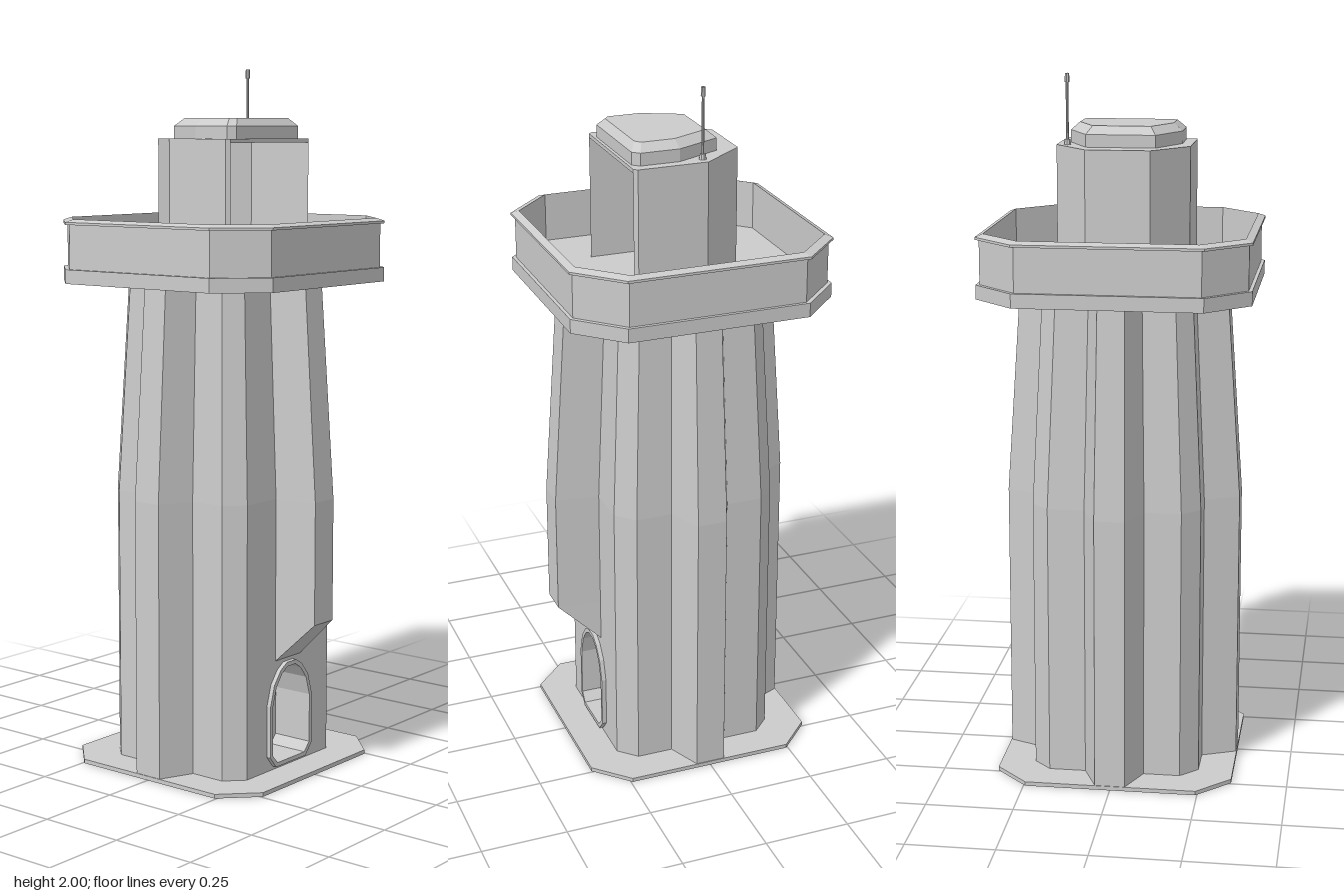
import * as THREE from 'three';

const grey = new THREE.MeshStandardMaterial({ color: 0xcccccc, flatShading: true, side: THREE.DoubleSide });

function add(parent, name, geometry) {
  const mesh = new THREE.Mesh(geometry, grey);
  mesh.name = name;
  parent.add(mesh);
  return mesh;
}

// Plan outline [x, z] placed at height y
const ring = (plan, y, s = 1) => plan.map(([x, z]) => [x * s, y, z * s]);

// Skin a stack of rings; optional end caps (convex) and skipped quads
function loft(rings, { bottom = false, top = false, skip = () => false } = {}) {
  const pos = [];
  const n = rings[0].length;
  const tri = (a, b, c) => pos.push(...a, ...b, ...c);
  for (let j = 0; j < rings.length - 1; j++) {
    for (let i = 0; i < n; i++) {
      if (skip(j, i)) continue;
      const k = (i + 1) % n;
      const a = rings[j][i], b = rings[j][k], c = rings[j + 1][k], d = rings[j + 1][i];
      tri(a, b, c);
      tri(a, c, d);
    }
  }
  const last = rings[rings.length - 1];
  for (let i = 1; i < n - 1; i++) {
    if (bottom) tri(rings[0][0], rings[0][i + 1], rings[0][i]);
    if (top) tri(last[0], last[i], last[i + 1]);
  }
  const g = new THREE.BufferGeometry();
  g.setAttribute('position', new THREE.Float32BufferAttribute(pos, 3));
  g.computeVertexNormals();
  return g;
}

const shapeOf = (pts) => new THREE.Shape(pts.map(([x, y]) => new THREE.Vector2(x, y)));

// Extrude a plan outline from y0 to y1, with an optional hole
function slab(plan, y0, y1, hole) {
  const flip = (p) => p.map(([x, z]) => [x, -z]);
  const s = shapeOf(flip(plan));
  if (hole) s.holes.push(shapeOf(flip(hole)));
  return new THREE.ExtrudeGeometry(s, { depth: y1 - y0, bevelEnabled: false })
    .rotateX(-Math.PI / 2).translate(0, y0, 0);
}

// Square with cut corners: r = half width, c = where the cut starts
const octagon = (r, c) => [[r, c], [r, -c], [c, -r], [-c, -r], [-r, -c], [-r, c], [-c, r], [c, r]];

// Complete a half outline by mirroring it across x = 0
const mirror = (half) => [...half, ...half.map(([x, y]) => [-x, y]).reverse()];

export function createModel() {
  const model = new THREE.Group();

  add(model, 'basePlate', slab(octagon(0.34, 0.245), 0, 0.012));

  // Tower body: ribs on three sides, plain wall in front
  const side = [[0.24, 0.19], [0.24, 0.085], [0.338, 0.043], [0.338, -0.043], [0.24, -0.085], [0.24, -0.19]];
  const plan = [];
  for (let k = 0; k < 4; k++) {
    side.forEach(([x, z], i) => {
      if (k === 3 && i > 0 && i < 5) return;
      for (let t = 0; t < k; t++) [x, z] = [z, -x];
      plan.push([x, z]);
    });
  }
  const frontEdge = plan.length - 2;
  add(model, 'towerBody', loft([ring(plan, 0.012), ring(plan, 0.8), ring(plan, 1.4, 0.88)],
    { skip: (j, i) => j === 0 && i === frontEdge }));

  // Lower front wall with the doorway cut out
  const doorOuter = mirror([[0.07, 0.022], [0.098, 0.055], [0.098, 0.205], [0.08, 0.265], [0.05, 0.303], [0.022, 0.32]]);
  const doorInner = mirror([[0.064, 0.034], [0.087, 0.06], [0.087, 0.202], [0.07, 0.258], [0.044, 0.292], [0.019, 0.308]]);
  const wall = shapeOf([[-0.19, 0.012], [0.19, 0.012], [0.19, 0.8], [-0.19, 0.8]]);
  wall.holes.push(shapeOf(doorInner));
  add(model, 'frontWall', new THREE.ShapeGeometry(wall).translate(0, 0, 0.24));

  const frame = shapeOf(doorOuter);
  frame.holes.push(shapeOf(doorInner));
  add(model, 'doorFrame', new THREE.ExtrudeGeometry(frame, { depth: 0.014, bevelEnabled: false }).translate(0, 0, 0.239));

  // Doorway recess, wound to face inward
  const jamb = (z) => doorInner.map(([x, y]) => [x, y, z]);
  add(model, 'doorway', loft([jamb(0.24), jamb(0.13)], { top: true }));

  // Front fin above the door with a sloped foot
  const fin = (w, back, v, front) => [[w, back], [-w, back], [-v, front], [v, front]];
  add(model, 'frontFin', loft([
    ring(fin(0.06, 0.235, 0.06, 0.24), 0.33),
    ring(fin(0.06, 0.235, 0.043, 0.365), 0.45),
    ring(fin(0.06, 0.235, 0.043, 0.365), 0.8),
    ring(fin(0.06, 0.235, 0.043, 0.365), 1.4, 0.885),
  ]));

  // Lookout platform with hatch
  const hatch = (r) => Array.from({ length: 8 }, (_, i) => {
    const a = (i + 0.5) * Math.PI / 4;
    return [r * Math.cos(a), -r * Math.sin(a)];
  });
  add(model, 'platform', slab(octagon(0.38, 0.26), 1.4, 1.44, hatch(0.06)));
  add(model, 'hatchRim', slab(hatch(0.08), 1.44, 1.455, hatch(0.06)));
  add(model, 'hatchShaft', loft([ring(hatch(0.06), 1.44), ring(hatch(0.06), 1.34)], { top: true }));

  // Parapet with a sloped lip
  const parapet = [[0.37, 0.253, 1.44], [0.37, 0.253, 1.565], [0.38, 0.26, 1.565],
    [0.38, 0.26, 1.572], [0.36, 0.246, 1.58], [0.36, 0.246, 1.44]];
  add(model, 'parapet', loft(parapet.map(([r, c, y]) => ring(octagon(r, c), y))));

  // Cabin: thin walls open to the front
  const cabin = new THREE.Group();
  cabin.name = 'cabin';
  model.add(cabin);
  const outer = [[0.178, 0.17], [0.188, 0.16], [0.188, -0.04], [0.09, -0.165]];
  const inner = [[0.178, 0.17], [0.178, -0.037], [0.084, -0.155]];
  const walls = [...mirror(outer), ...mirror(inner).reverse()];
  add(cabin, 'cabinWalls', slab(walls, 1.44, 1.795));
  add(cabin, 'cabinRoof', slab(mirror(outer), 1.792, 1.803));

  // Bevelled cap on the roof
  const capOuter = mirror([[0.14, 0.161], [0.158, 0.142], [0.158, 0.03], [0.097, -0.1]]);
  const capInner = mirror([[0.116, 0.144], [0.133, 0.13], [0.133, 0.036], [0.081, -0.074]]);
  add(cabin, 'roofCap', loft([ring(capOuter, 1.803), ring(capOuter, 1.838), ring(capInner, 1.86)], { top: true }));

  // Antenna
  const antenna = new THREE.Group();
  antenna.name = 'antenna';
  antenna.position.set(0.158, 0, -0.035);
  model.add(antenna);
  const rod = (name, r0, r1, y0, y1) =>
    add(antenna, name, new THREE.CylinderGeometry(r1, r0, y1 - y0, 8).translate(0, (y0 + y1) / 2, 0));
  rod('antennaBase', 0.011, 0.008, 1.8, 1.818);
  rod('antennaRod', 0.004, 0.004, 1.815, 1.98);
  rod('antennaTip', 0.007, 0.006, 1.975, 2);

  return model;
}
